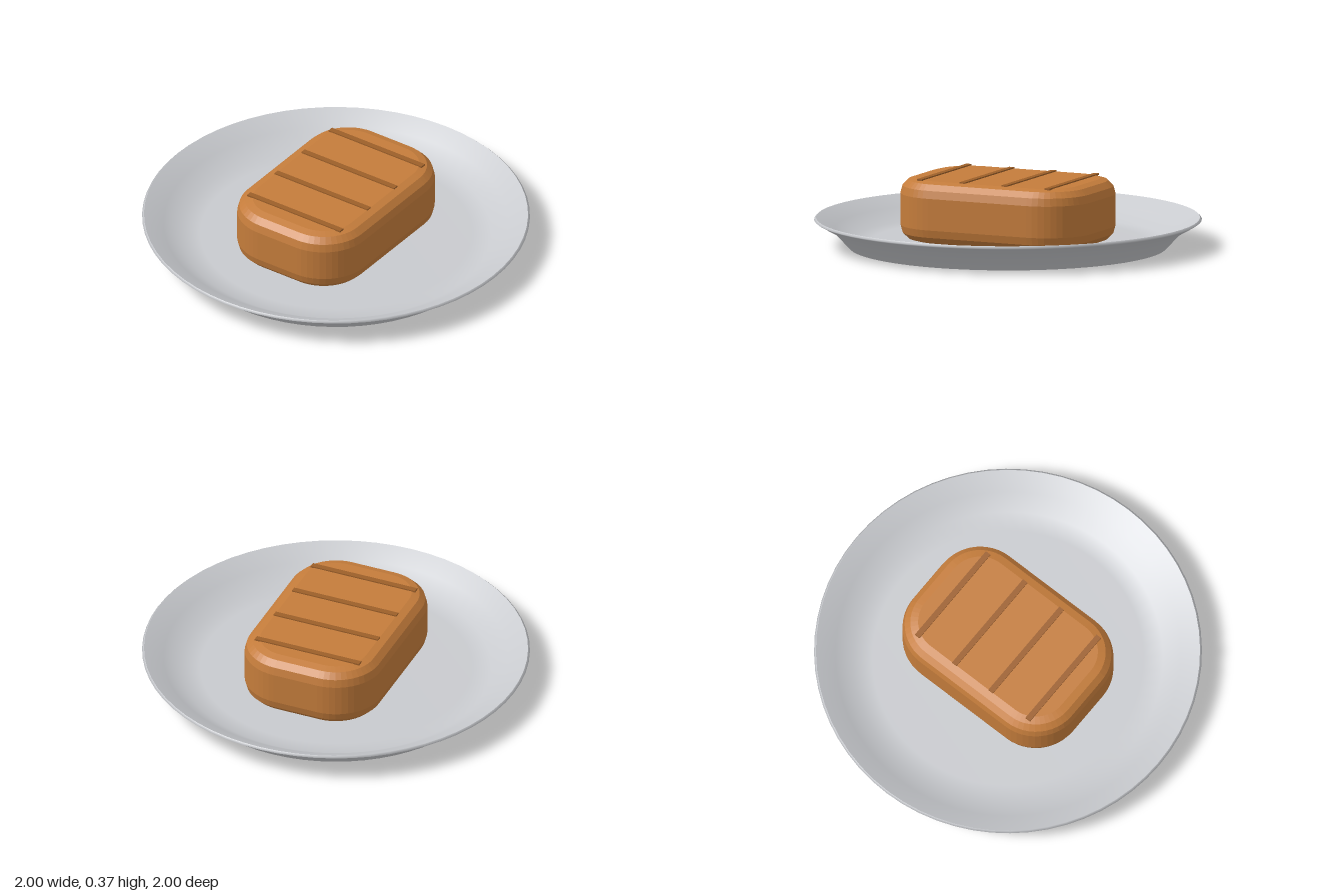
import * as THREE from 'three';

// Rounded rectangle outline centred on the origin
function roundedRect(hw, hh, r) {
  const s = new THREE.Shape();
  s.absarc(hw - r, hh - r, r, 0, Math.PI / 2);
  s.absarc(-hw + r, hh - r, r, Math.PI / 2, Math.PI);
  s.absarc(-hw + r, -hh + r, r, Math.PI, Math.PI * 1.5);
  s.absarc(hw - r, -hh + r, r, Math.PI * 1.5, Math.PI * 2);
  s.closePath();
  return s;
}

export function createModel() {
  const group = new THREE.Group();
  const plateGrey = new THREE.MeshStandardMaterial({ color: 0xc8cace });
  plateGrey.name = 'plateGrey';
  const crustBrown = new THREE.MeshStandardMaterial({ color: 0xc47c3b });
  crustBrown.name = 'crustBrown';
  const grillBrown = new THREE.MeshStandardMaterial({ color: 0x9c5f29 });
  grillBrown.name = 'grillBrown';

  const add = (name, geometry, material) => {
    const mesh = new THREE.Mesh(geometry, material);
    mesh.name = name;
    group.add(mesh);
    return mesh;
  };

  // Plate: flat base, flared underside, thin rim and shallow bowl
  const lathe = (name, pts) => add(name, new THREE.LatheGeometry(
    pts.map(([x, y]) => new THREE.Vector2(x, y)), 64), plateGrey);
  lathe('plateBase', [[0, 0], [0.82, 0]]);
  lathe('plateUnderside', [[0.82, 0], [0.9, 0.085], [0.99, 0.135]]);
  lathe('plateRim', [[0.99, 0.135], [1, 0.142], [0.99, 0.152]]);
  lathe('plateBowl', [[0.99, 0.152], [0.89, 0.1], [0.8, 0.04], [0.7, 0.033], [0, 0.033]]);

  // Loaf: rounded slab with bevelled top and bottom edges
  const bevel = 0.08;
  const loaf = new THREE.ExtrudeGeometry(roundedRect(0.53 - bevel, 0.37 - bevel, 0.17), {
    depth: 0.165, curveSegments: 6, bevelEnabled: true,
    bevelSize: bevel, bevelThickness: bevel, bevelSegments: 3,
  });
  loaf.rotateX(-Math.PI / 2);
  loaf.translate(0, 0.115, 0);
  add('loaf', loaf, crustBrown);

  // Grill marks across the top
  for (const x of [-0.365, -0.12, 0.12, 0.365]) {
    add('grillMark', new THREE.BoxGeometry(0.03, 0.009, 0.585), grillBrown)
      .position.set(x, 0.362, 0);
  }
  return group;
}
